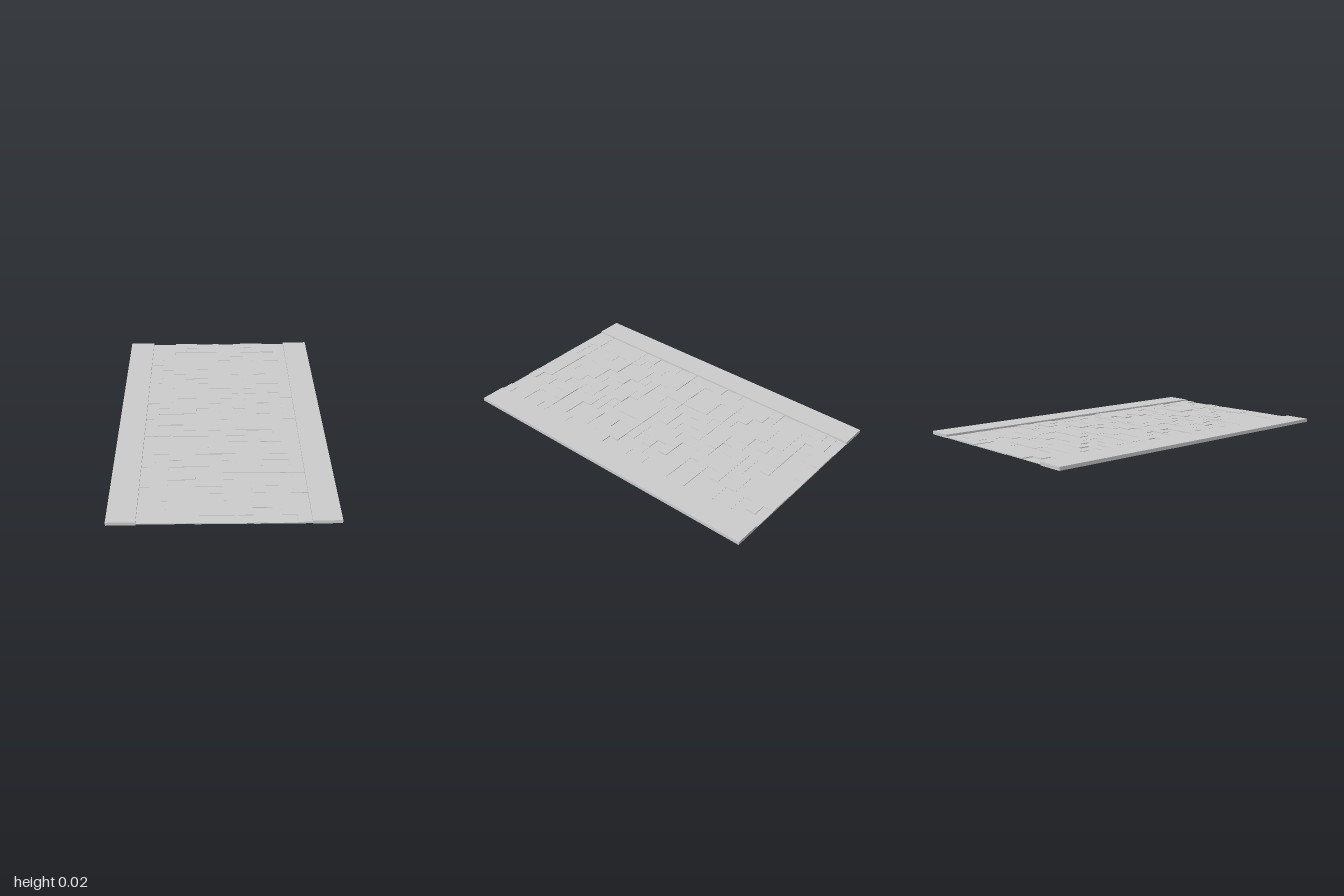
import * as THREE from 'three';
import { mergeGeometries } from 'three/addons/utils/BufferGeometryUtils.js';

const LENGTH = 2, ROWS = 32, ROW = LENGTH / ROWS;
const BRICK = 0.154, LANE = BRICK * 2;
const OUTER = 0.62, INNER = LANE * 1.5, CURB_HEIGHT = 0.02;

// Repeatable values in 0..1 for the uneven brick heights
function seeded(seed) {
  let s = seed;
  return () => (s = (s * 16807) % 2147483647) / 2147483647;
}

// Box given by its limits in x, y and z
function block(x0, x1, y0, y1, z0, z1) {
  return new THREE.BoxGeometry(x1 - x0, y1 - y0, z1 - z0)
    .translate((x0 + x1) / 2, (y0 + y1) / 2, (z0 + z1) / 2);
}

// One lane of bricks in running bond, with half bricks closing odd rows
function laneGeometry(left, bottom, random) {
  const bricks = [];
  for (let row = 0; row < ROWS; row++) {
    const z = -LENGTH / 2 + row * ROW;
    const joints = row % 2 ? [0, BRICK / 2, BRICK * 1.5, LANE] : [0, BRICK, LANE];
    for (let i = 0; i + 1 < joints.length; i++) {
      const top = 0.007 + Math.floor(random() * 5) * 0.0013;
      bricks.push(block(left + joints[i], left + joints[i + 1], bottom, top, z, z + ROW));
    }
  }
  return mergeGeometries(bricks);
}

export function createModel() {
  const group = new THREE.Group();
  group.name = 'brickRoad';
  const material = new THREE.MeshStandardMaterial({ color: 0xcccccc, flatShading: true });
  const add = (name, geometry) => {
    const mesh = new THREE.Mesh(geometry, material);
    mesh.name = name;
    group.add(mesh);
  };

  // Raised pavements along both sides
  add('rightPavement', block(-OUTER, -INNER, 0, CURB_HEIGHT, -1, 1));
  add('leftPavement', block(INNER, OUTER, 0, CURB_HEIGHT, -1, 1));

  // Three brick lanes, each bedded at a slightly different depth
  const random = seeded(4127);
  const names = ['rightLane', 'middleLane', 'leftLane'];
  [0.005, 0.003, 0.002].forEach((bottom, i) =>
    add(names[i], laneGeometry(-INNER + i * LANE, bottom, random)));

  return group;
}
